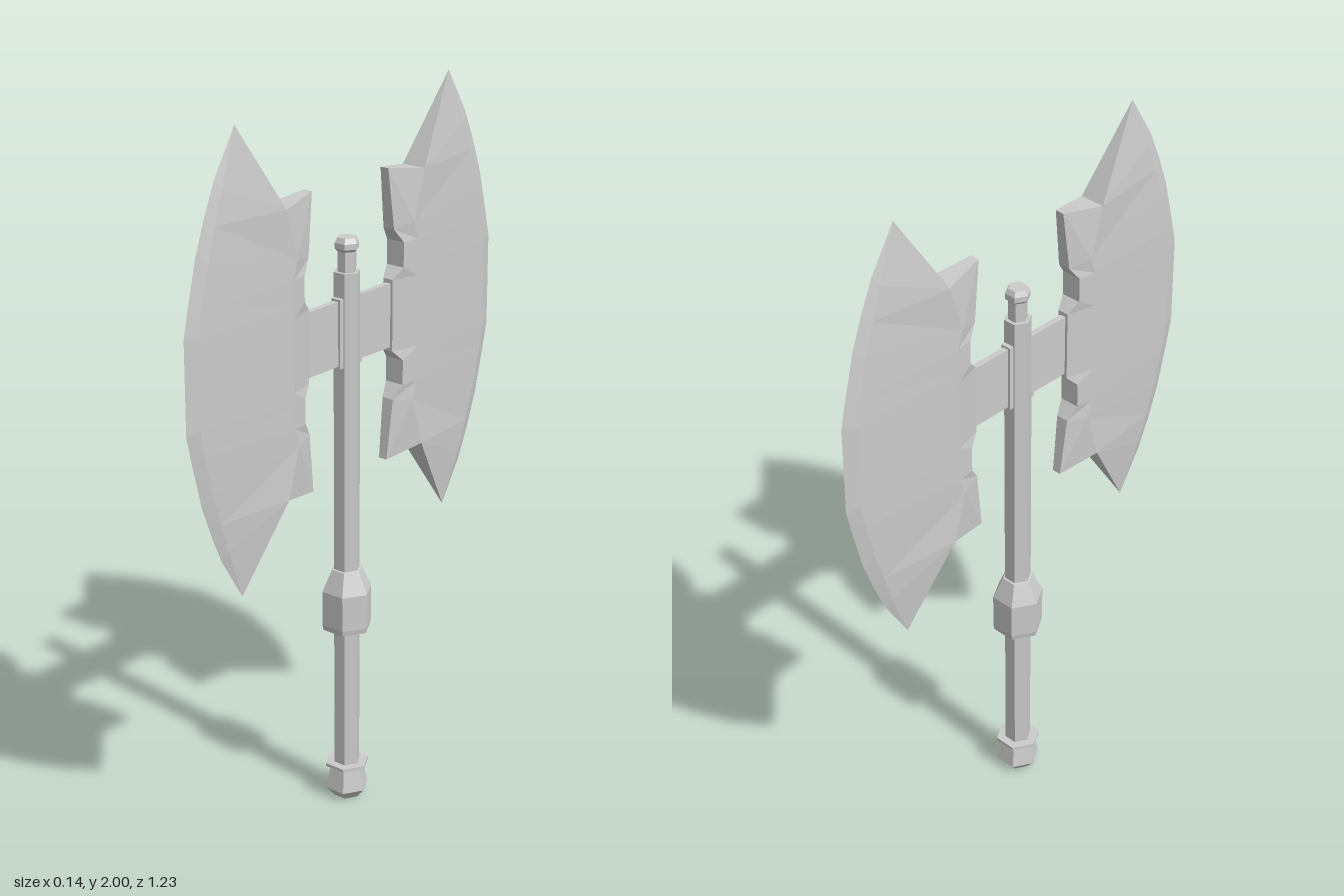
import * as THREE from 'three';

const mat = new THREE.MeshStandardMaterial({ color: 0xcccccc, flatShading: true, side: THREE.DoubleSide });
const MID = 1.378; // height of the axe head's centre line

// six-sided turned part from [radius, y] pairs, corners on the x axis
function turned(name, profile) {
  const points = profile.map(([r, y]) => new THREE.Vector2(r, y));
  const mesh = new THREE.Mesh(new THREE.LatheGeometry(points, 6, Math.PI / 2), mat);
  mesh.name = name;
  return mesh;
}

function block(name, x, y, z) {
  const mesh = new THREE.Mesh(new THREE.BoxGeometry(x, y, z), mat);
  mesh.position.y = MID;
  mesh.name = name;
  return mesh;
}

// Upper half of one blade. Each station: inner edge, ridge, bevel, cutting edge
// as [half thickness, height above the centre line, z].
const TIP = [0, 0.622, 0.42];
const HORN = [0.037, 0.388, 0.275];
const stations = [
  [[0.016, 0.1, 0.17], [0.037, 0.1, 0.25], [0.013, 0.118, 0.575], [0, 0.127, 0.613]],
  [[0.029, 0.13, 0.2], [0.037, 0.13, 0.25], [0.013, 0.19, 0.562], [0, 0.205, 0.595]],
  [[0.029, 0.2, 0.2], [0.037, 0.2, 0.25], [0.013, 0.3, 0.535], [0, 0.325, 0.565]],
  [[0.018, 0.238, 0.172], [0.037, 0.25, 0.235], [0.012, 0.39, 0.507], [0, 0.415, 0.532]],
  [[0.013, 0.407, 0.152], HORN, [0.01, 0.475, 0.478], [0, 0.5, 0.495]],
  [HORN, TIP, TIP, TIP],
  [TIP, TIP, TIP, TIP],
];

// closed ring around the blade at one station
function ring([inner, ridge, bevel, edge], up) {
  const at = ([x, y, z], side) => new THREE.Vector3(x * side, MID + y * up, z);
  return [at(inner, 1), at(ridge, 1), at(bevel, 1), at(edge, 1),
    at(bevel, -1), at(ridge, -1), at(inner, -1)];
}

function bladeGeometry() {
  const lower = stations.map((s) => ring(s, -1)).reverse();
  const rings = [...lower, ...stations.map((s) => ring(s, 1))];
  const pos = [];
  const tri = (a, b, c) => {
    const area = b.clone().sub(a).cross(c.clone().sub(a)).length();
    if (area > 1e-7) for (const p of [a, b, c]) pos.push(p.x, p.y, p.z);
  };
  for (let k = 0; k < rings.length - 1; k++) {
    const a = rings[k], b = rings[k + 1];
    for (let i = 0; i < 7; i++) {
      const j = (i + 1) % 7;
      // diagonals are mirrored between the sides and the halves
      if ((i < 3) === (k >= stations.length)) {
        tri(a[i], b[i], a[j]);
        tri(a[j], b[i], b[j]);
      } else {
        tri(a[i], b[i], b[j]);
        tri(a[i], b[j], a[j]);
      }
    }
  }
  const geo = new THREE.BufferGeometry();
  geo.setAttribute('position', new THREE.Float32BufferAttribute(pos, 3));
  geo.computeVertexNormals();
  return geo;
}

export function createModel() {
  const axe = new THREE.Group();
  axe.name = 'doubleAxe';

  // handle, from the bottom up
  axe.add(
    turned('pommel', [[0, 0], [0.036, 0], [0.061, 0.028], [0.049, 0.092], [0.063, 0.097], [0.063, 0.106], [0, 0.106]]),
    turned('shaft', [[0.037, 0.1], [0.037, 1.54], [0, 1.54]]),
    turned('gripCollar', [[0.03, 0.518], [0.068, 0.52], [0.071, 0.535], [0.071, 0.635], [0.043, 0.697], [0.03, 0.7]]),
    turned('collarRing', [[0.03, 0.7], [0.03, 0.715], [0.037, 0.715]]),
    turned('finial', [[0.026, 1.53], [0.026, 1.595], [0.034, 1.603], [0.034, 1.618], [0.026, 1.632], [0, 1.632]]),
  );

  // bridge joining the two blades through the shaft
  axe.add(block('bridge', 0.017, 0.178, 0.42), block('bridgeSocket', 0.03, 0.19, 0.09));

  // blades, facing front and back
  const geo = bladeGeometry();
  ['frontBlade', 'backBlade'].forEach((name, i) => {
    const blade = new THREE.Mesh(geo, mat);
    blade.name = name;
    blade.rotation.y = i * Math.PI;
    axe.add(blade);
  });
  return axe;
}
